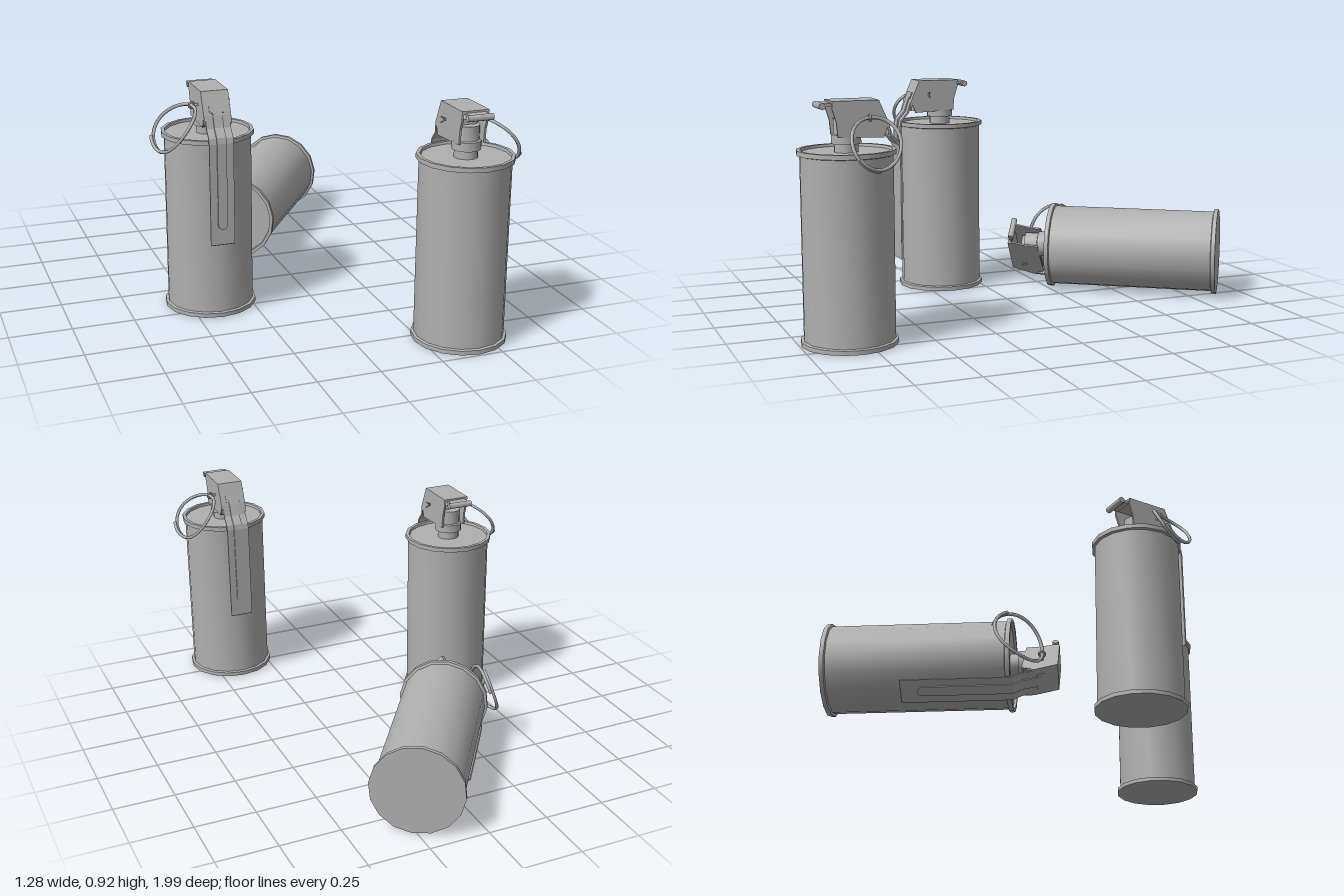
import * as THREE from 'three';
import { toCreasedNormals } from 'three/addons/utils/BufferGeometryUtils.js';

const metal = new THREE.MeshStandardMaterial({ color: 0xb0b0b0 });
metal.name = 'grey metal';

function add(group, name, geometry, x = 0, y = 0, z = 0) {
  const mesh = new THREE.Mesh(geometry, metal);
  mesh.name = name;
  mesh.position.set(x, y, z);
  group.add(mesh);
  return mesh;
}

const V = (x, y, z) => new THREE.Vector3(x, y, z);

// Turned part from [radius, height] pairs, with sharp rims
function turned(profile, sides) {
  const points = profile.map(([r, y]) => new THREE.Vector2(r, y));
  return toCreasedNormals(new THREE.LatheGeometry(points, sides), 0.6);
}

// Side outline given as [z, y] pairs, extruded across x
function sideSlab(outline, width) {
  const shape = new THREE.Shape(outline.map(([z, y]) => new THREE.Vector2(z, y)));
  return new THREE.ExtrudeGeometry(shape, { depth: width, bevelEnabled: false })
    .translate(0, 0, -width / 2).rotateY(-Math.PI / 2);
}

// Bent sheet following a [z, y] path
function sheet(path, width, t) {
  const inner = path.map(([z, y]) => [z - t, y - t * 0.6]).reverse();
  return sideSlab([...path, ...inner], width);
}

function rod(points, radius, segments = 6) {
  return new THREE.TubeGeometry(new THREE.CatmullRomCurve3(points), segments, radius, 6);
}

function canister() {
  const g = new THREE.Group();

  // Can with rolled rims and a slightly recessed lid
  add(g, 'can', turned([
    [0, 0.007], [0.186, 0.007], [0.186, 0.024], [0.175, 0.027], [0.175, 0.724],
    [0.186, 0.727], [0.186, 0.745], [0.172, 0.745], [0.17, 0.734], [0, 0.734],
  ], 16));

  // Threaded neck and fuse housing
  add(g, 'fuseNeck', turned([
    [0.045, 0.73], [0.045, 0.766], [0.056, 0.766], [0.056, 0.8],
    [0.048, 0.803], [0.048, 0.86], [0, 0.86],
  ], 16));
  add(g, 'fuseBlock', new THREE.BoxGeometry(0.07, 0.09, 0.13), 0, 0.835, 0.055);

  // Folded cap: two cheeks under the lever's top plate
  for (const side of [-1, 1]) {
    add(g, 'capCheek', sideSlab([
      [0.108, 0.923], [-0.062, 0.923], [-0.066, 0.9], [-0.05, 0.85],
      [-0.045, 0.795], [0.13, 0.787], [0.148, 0.835],
    ], 0.008), side * 0.051);
  }
  add(g, 'capTop', sideSlab([
    [0.112, 0.927], [-0.065, 0.927], [-0.065, 0.915], [0.104, 0.915],
  ], 0.11));
  add(g, 'capFront', sheet([[0.112, 0.927], [0.152, 0.835], [0.156, 0.8]], 0.11, 0.008));

  // Hinge at the back of the cap
  add(g, 'hingeArm', new THREE.BoxGeometry(0.08, 0.012, 0.04), 0, 0.914, -0.08);
  add(g, 'hingeBar', new THREE.CylinderGeometry(0.013, 0.013, 0.104, 8).rotateZ(Math.PI / 2), 0, 0.909, -0.1);

  // Long safety lever with a raised rib
  add(g, 'lever', sheet([
    [0.15, 0.84], [0.166, 0.79], [0.195, 0.757], [0.2, 0.735], [0.2, 0.323],
  ], 0.098, 0.006));
  add(g, 'leverRib', sheet([
    [0.138, 0.876], [0.156, 0.838], [0.172, 0.793], [0.201, 0.76], [0.206, 0.737], [0.206, 0.408],
  ], 0.038, 0.007));
  add(g, 'leverRibEnd', new THREE.CylinderGeometry(0.019, 0.019, 0.007, 12).rotateX(Math.PI / 2), 0, 0.406, 0.2025);
  add(g, 'leverRibFlare', sheet([[0.138, 0.876], [0.15, 0.848]], 0.062, 0.007));

  // Pin with splayed ends
  add(g, 'pin', rod([V(-0.085, 0.865, 0.07), V(0.058, 0.865, 0.07)], 0.006));
  for (const s of [-1, 1]) {
    add(g, 'pinEnd', rod([V(0.055, 0.865, 0.07), V(0.075, 0.865 + s * 0.013, 0.07)], 0.003, 2));
  }
  add(g, 'pinEye', new THREE.TorusGeometry(0.012, 0.004, 6, 12), -0.08, 0.865, 0.07);

  // Overlapping split pull ring, bowed away from the can
  const coil = [];
  const steps = 44;
  for (let i = 0; i <= steps; i++) {
    const a = Math.PI + (i / steps) * Math.PI * 2.3;
    const c = Math.cos(a), s = Math.sin(a);
    const bow = 0.018 * s * s + 0.012 * (i / steps) - 0.006;
    coil.push(V(
      -0.147 + 0.062 * c + 0.035 * s - 0.8 * bow,
      0.777 + 0.09 * c + 0.6 * bow,
      0.07 + 0.1 * s,
    ));
  }
  add(g, 'pullRing', rod(coil, 0.007, 60));
  return g;
}

export function createModel() {
  const model = new THREE.Group();
  model.name = 'canisters';

  const left = canister();
  left.name = 'standingCanisterBack';
  left.position.set(-0.407, 0, 0.157);

  const right = canister();
  right.name = 'standingCanisterFront';
  right.position.set(0.407, 0, 0.81);
  right.rotation.y = Math.PI;

  // Fallen canister resting on its rim and lever
  const fallen = canister();
  fallen.name = 'fallenCanister';
  const heading = THREE.MathUtils.degToRad(35);
  const roll = THREE.MathUtils.degToRad(40);
  const up = V(-Math.sin(heading), 0, Math.cos(heading));
  const front = V(-Math.cos(heading) * Math.sin(roll), -Math.cos(roll), -Math.sin(heading) * Math.sin(roll));
  const side = up.clone().cross(front);
  fallen.quaternion.setFromRotationMatrix(new THREE.Matrix4().makeBasis(side, up, front));
  fallen.position.set(0.256, 0.19, -0.896);

  model.add(left, right, fallen);
  return model;
}
